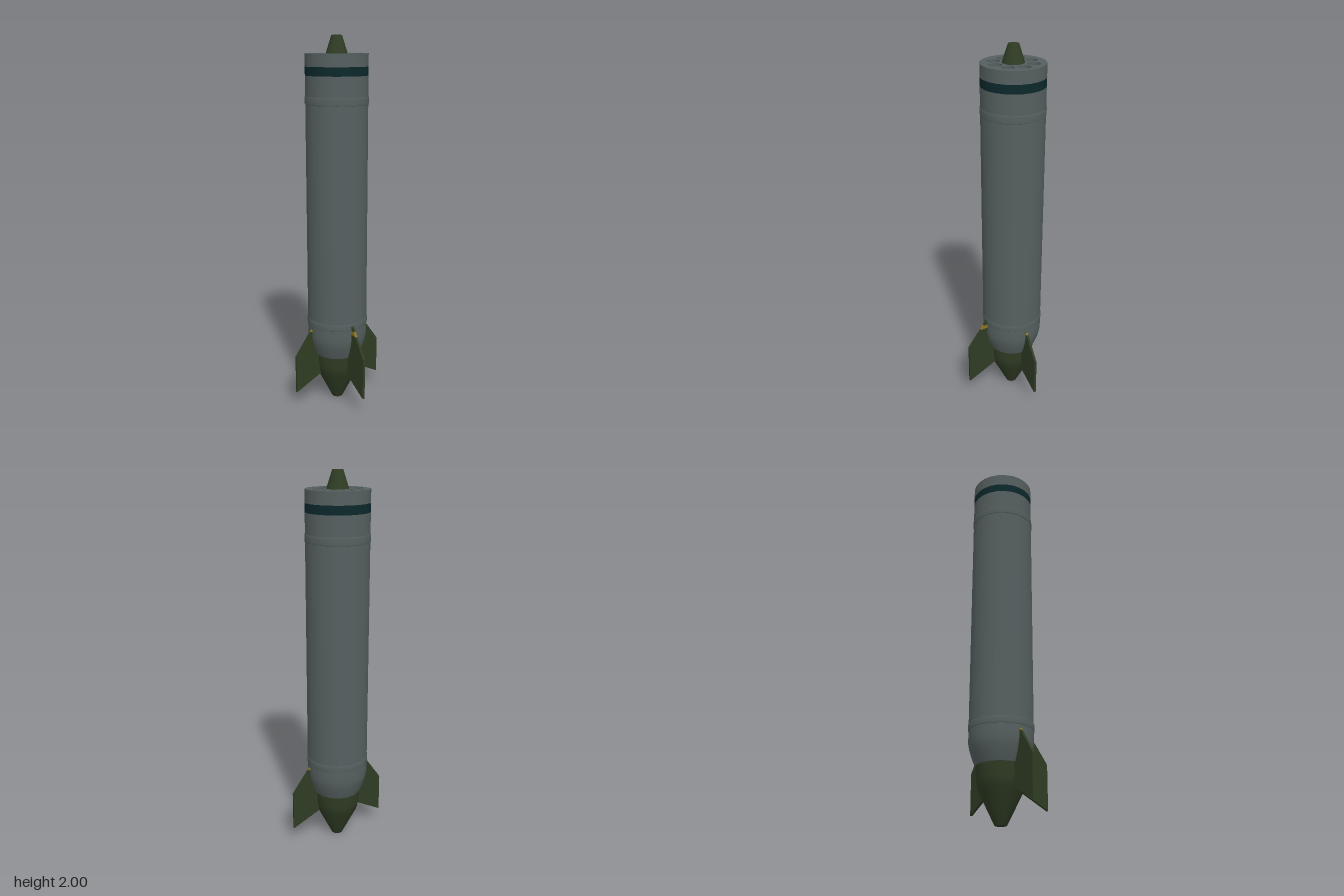
import * as THREE from 'three';

const SIDES = 24;
const R = 0.163;

const mat = (name, color, side = THREE.FrontSide) => {
  const m = new THREE.MeshStandardMaterial({ color, side });
  m.name = name;
  return m;
};

export function createModel() {
  const grey = mat('grey casing', 0x566060, THREE.DoubleSide);
  const olive = mat('olive green', 0x2f3c24);
  const teal = mat('dark teal', 0x0d282c);
  const yellow = mat('yellow marking', 0x8a7424);

  const model = new THREE.Group();
  model.name = 'rocketPod';
  const pod = new THREE.Group();
  pod.name = 'pod';
  pod.position.z = -0.057;
  model.add(pod);

  const add = (name, geometry, material, parent = pod) => {
    const mesh = new THREE.Mesh(geometry, material);
    mesh.name = name;
    parent.add(mesh);
    return mesh;
  };
  // Surface of revolution from [radius, height] pairs, bottom to top
  const lathe = (name, profile, material) =>
    add(name, new THREE.LatheGeometry(profile.map(([r, y]) => new THREE.Vector2(r, y)), SIDES), material);
  // Horizontal disc facing up or down
  const disc = (name, r, y, material, up = true) => {
    const g = new THREE.CircleGeometry(r, SIDES);
    g.rotateX(up ? -Math.PI / 2 : Math.PI / 2);
    g.translate(0, y, 0);
    return add(name, g, material);
  };

  // Casing, coloured band and front section
  lathe('casing', [[0.129, 0.28], [0.143, 0.315], [0.156, 0.355], [R, 0.39], [R, 0.43], [R, 1.8]], grey);
  lathe('band', [[R + 0.0005, 1.8], [R + 0.0005, 1.845]], teal);
  lathe('frontCollar', [[R, 1.845], [R, 1.91]], grey);
  disc('casingUnderside', 0.129, 0.28, grey, false);

  // Raised joint rings
  for (const [y0, y1] of [[0.455, 0.49], [1.655, 1.695]]) {
    lathe('jointRing', [[R, y0], [R + 0.003, y0 + 0.003], [R + 0.003, y1 - 0.003], [R, y1]], grey);
  }

  // Front plate with a ring of launch tubes
  const plate = new THREE.Shape();
  for (let i = 0; i < SIDES; i++) {
    const a = (i / SIDES) * Math.PI * 2;
    plate[i ? 'lineTo' : 'moveTo'](R * Math.cos(a), R * Math.sin(a));
  }
  plate.closePath();
  for (let i = 0; i < 8; i++) {
    const a = (i / 8) * Math.PI * 2;
    const x = 0.1 * Math.cos(a), z = 0.1 * Math.sin(a);
    const hole = new THREE.Path();
    hole.absarc(x, z, 0.033, 0, Math.PI * 2, true);
    plate.holes.push(hole);
    const wall = new THREE.CylinderGeometry(0.033, 0.033, 0.065, SIDES, 1, true);
    add('launchTube', wall, grey).position.set(x, 1.8775, z);
  }
  const plateGeometry = new THREE.ShapeGeometry(plate, SIDES);
  plateGeometry.rotateX(-Math.PI / 2);
  add('frontPlate', plateGeometry, grey).position.y = 1.91;
  disc('tubeFloor', R - 0.001, 1.805, teal);

  // Nose cone, running down inside the front section
  lathe('noseCone', [[0.092, 1.806], [0.056, 1.91], [0.027, 2]], olive);
  disc('noseTip', 0.027, 2, olive);

  // Tail cone
  lathe('tailCone', [[0.03, 0], [0.112, 0.165], [0.121, 0.215], [0.125, 0.282]], olive);
  disc('tailEnd', 0.03, 0, olive, false);

  // Fins: outline in [distance from axis, height], with a yellow patch on the leading edge
  const fin = (name, angle, tip, tipTop, tipLow, root, rootTop, mark0, mark1) => {
    const group = new THREE.Group();
    group.name = name;
    group.rotation.y = angle;
    pod.add(group);
    const edge = (y) => tip + ((root - tip) * (y - tipTop)) / (rootTop - tipTop);
    const slab = (part, points, material) => {
      const shape = new THREE.Shape(points.map(([x, y]) => new THREE.Vector2(x, y)));
      const g = new THREE.ExtrudeGeometry(shape, { depth: 0.013, bevelEnabled: false });
      g.translate(0, 0, -0.0065);
      add(part, g, material, group);
    };
    const inner = 0.09;
    slab('finBlade', [[inner, tipLow + 0.09], [tip, tipLow], [tip, tipTop], [edge(mark0), mark0], [inner, mark0]], olive);
    slab('finMark', [[inner, mark0], [edge(mark0), mark0], [edge(mark1), mark1], [inner, mark1]], yellow);
    slab('finRoot', [[inner, mark1], [edge(mark1), mark1], [root, rootTop], [inner, rootTop]], olive);
  };
  fin('leftFin', 0, 0.263, 0.295, 0.085, 0.155, 0.45, 0.424, 0.437);
  fin('rightFin', Math.PI, 0.263, 0.295, 0.085, 0.155, 0.45, 0.424, 0.437);
  fin('frontFin', -Math.PI / 2, 0.28, 0.33, 0.098, 0.165, 0.48, 0.43, 0.453);

  return model;
}
